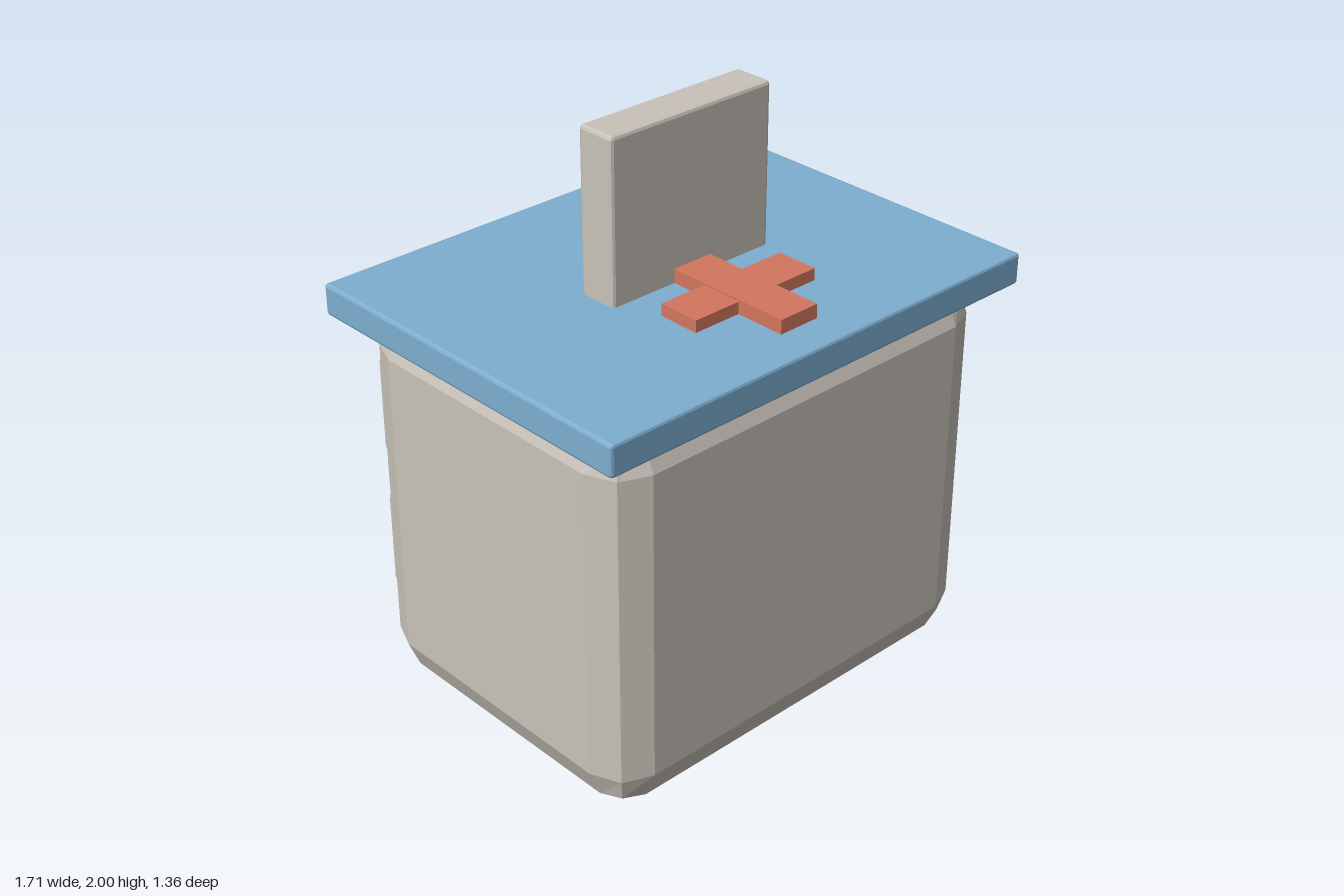
import * as THREE from 'three';
import { RoundedBoxGeometry } from 'three/addons/geometries/RoundedBoxGeometry.js';

const paint = (name, color) => {
  const m = new THREE.MeshStandardMaterial({ color });
  m.name = name;
  return m;
};

export function createModel() {
  const model = new THREE.Group();
  model.name = 'clinic';

  const wall = paint('warm grey', 0xc8c2b9);
  const blue = paint('roof blue', 0x7eaed0);
  const red = paint('cross red', 0xd37660);
  const glass = paint('window teal', 0x90c3c4);
  const navy = paint('door navy', 0x3e657c);

  // Box between min and max corners, with an optional faceted bevel
  function block(name, material, [x0, y0, z0], [x1, y1, z1], bevel = 0, parent = model) {
    const size = [x1 - x0, y1 - y0, z1 - z0];
    let geometry;
    if (bevel) {
      geometry = new RoundedBoxGeometry(...size, 1, bevel);
      geometry.computeVertexNormals(); // unshared corners give flat facets
    } else {
      geometry = new THREE.BoxGeometry(...size);
    }
    const mesh = new THREE.Mesh(geometry, material);
    mesh.name = name;
    mesh.position.set((x0 + x1) / 2, (y0 + y1) / 2, (z0 + z1) / 2);
    parent.add(mesh);
    return mesh;
  }

  // Building body and overhanging roof
  block('body', wall, [-0.785, 0.03, -0.572], [0.785, 1.38, 0.613], 0.14);
  block('roof', blue, [-0.857, 1.343, -0.637], [0.857, 1.45, 0.677], 0.01);

  // Upright sign board
  block('signBoard', wall, [-0.325, 1.42, -0.052], [0.325, 2, 0.09], 0.012);

  // Cross on the sign, facing the back
  const a = 0.075, b = 0.238;
  const outline = [[-a, -b], [a, -b], [a, -a], [b, -a], [b, a], [a, a],
    [a, b], [-a, b], [-a, a], [-b, a], [-b, -a], [-a, -a]];
  const crossShape = new THREE.Shape(outline.map(([x, y]) => new THREE.Vector2(x, y)));
  const cross = new THREE.Mesh(
    new THREE.ExtrudeGeometry(crossShape, { depth: 0.06, bevelEnabled: false }), red);
  cross.name = 'signCross';
  cross.position.set(0, 1.685, -0.11);
  model.add(cross);

  // Cross lying on the roof
  const roofCross = new THREE.Group();
  roofCross.name = 'roofCross';
  model.add(roofCross);
  block('roofCrossLongBar', red, [-0.075, 1.44, 0.045], [0.075, 1.498, 0.545], 0, roofCross);
  block('roofCrossSideBar', red, [-0.25, 1.44, 0.22], [0.25, 1.491, 0.368], 0, roofCross);

  // Four framed windows on the back wall
  for (const x of [-0.52, 0.52]) {
    for (const y of [0.455, 0.965]) {
      const window = new THREE.Group();
      window.name = 'window';
      window.position.set(x, y, 0);
      model.add(window);
      block('windowFrame', wall, [-0.168, -0.167, -0.626], [0.168, 0.167, -0.55], 0.01, window);
      block('windowPane', glass, [-0.14, -0.137, -0.648], [0.14, 0.137, -0.61], 0.004, window);
    }
  }

  // Door, frame and knob
  const door = new THREE.Group();
  door.name = 'entrance';
  model.add(door);
  block('doorFrame', wall, [-0.19, 0, -0.632], [0.19, 0.66, -0.54], 0.01, door);
  block('doorPanel', navy, [-0.15, 0.037, -0.658], [0.15, 0.63, -0.61], 0.006, door);
  block('doorKnob', red, [0.068, 0.308, -0.68], [0.108, 0.354, -0.65], 0.004, door);

  return model;
}
